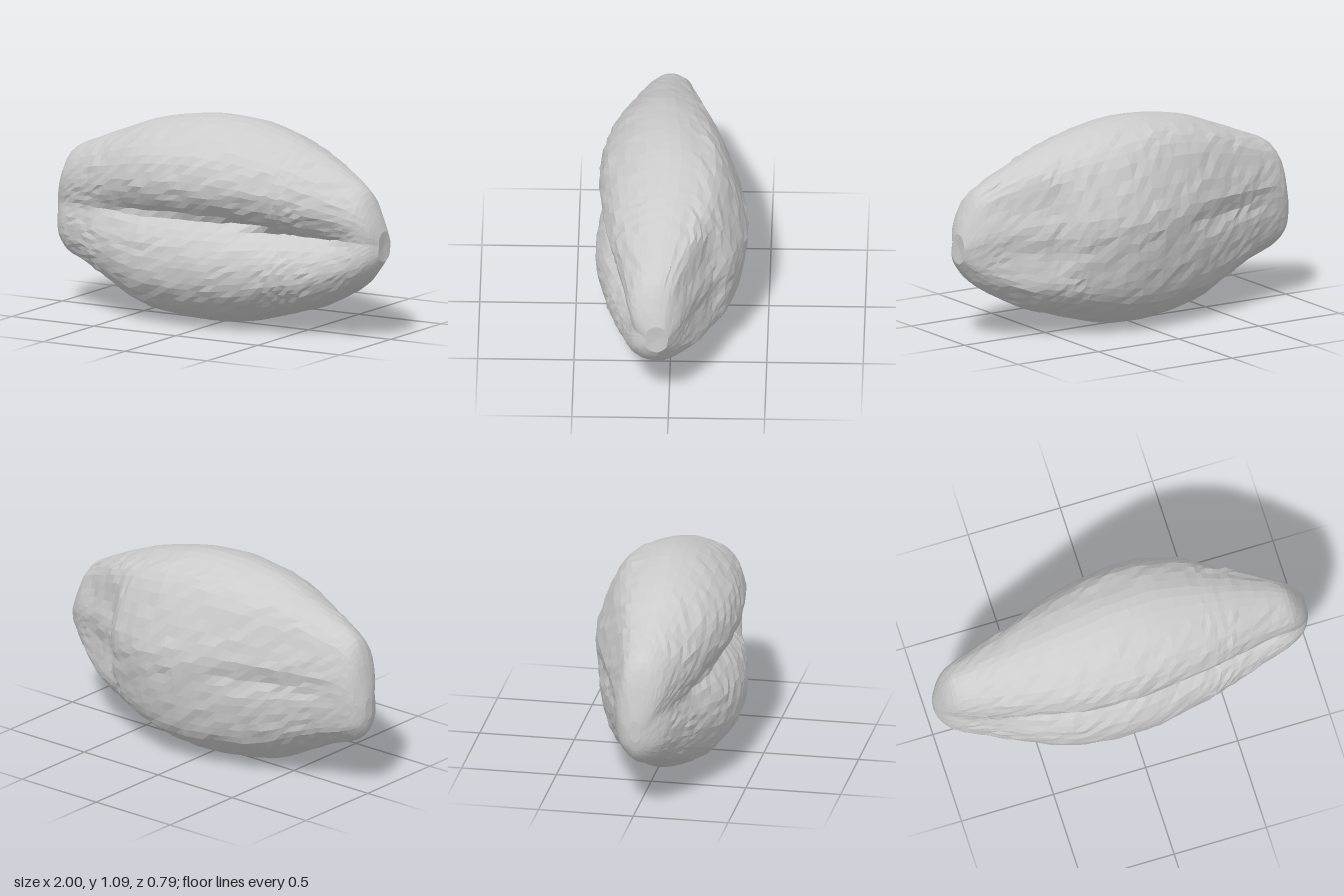
import * as THREE from 'three';

// stations along the bean: x, top, bottom, front, back
const STATIONS = [
  [-1, 0.53, 0.41, 0.035, -0.02], [-0.985, 0.61, 0.35, 0.07, -0.05], [-0.95, 0.74, 0.3, 0.12, -0.09],
  [-0.89, 0.835, 0.26, 0.165, -0.12], [-0.75, 0.9, 0.21, 0.225, -0.165], [-0.6, 0.96, 0.135, 0.285, -0.22],
  [-0.4, 1.035, 0.045, 0.352, -0.29], [-0.2, 1.075, 0.012, 0.385, -0.35], [0, 1.09, 0.0, 0.392, -0.388],
  [0.2, 1.07, 0.02, 0.375, -0.393], [0.4, 1.02, 0.075, 0.345, -0.345], [0.5, 0.985, 0.105, 0.32, -0.295],
  [0.62, 0.935, 0.14, 0.29, -0.25], [0.8, 0.845, 0.23, 0.245, -0.16], [0.9, 0.78, 0.295, 0.215, -0.09],
  [0.965, 0.67, 0.365, 0.175, -0.03], [1, 0.58, 0.42, 0.12, 0.0],
];

// closed cross-section without the crease: depth (-1 back, 1 front), height (0 to 1)
const SECTION = [
  [0.04, 1], [0.5, 0.95], [0.85, 0.84], [0.99, 0.72], [1.0, 0.62], [0.98, 0.52], [1.02, 0.4], [1.03, 0.3],
  [0.97, 0.2], [0.78, 0.11], [0.48, 0.04], [0.04, 0], [-0.28, 0.025], [-0.74, 0.145],
  [-0.89, 0.27], [-0.96, 0.42], [-1, 0.56], [-0.88, 0.715], [-0.65, 0.895], [-0.38, 0.965],
];

// repeatable surface unevenness
function noise(i, j) {
  const s = Math.sin(i * 127.1 + j * 311.7) * 43758.5453;
  return (s - Math.floor(s)) * 2 - 1;
}

function createBean() {
  const step = THREE.MathUtils.smoothstep;
  const bump = (t, centre, width, power) => Math.exp(-(((t - centre) / width) ** power));
  const curve = (pts, closed) => new THREE.CatmullRomCurve3(pts, closed, 'catmullrom', 0.5);
  const heights = curve(STATIONS.map(s => new THREE.Vector3(s[0], s[1], s[2])), false);
  const depths = curve(STATIONS.map(s => new THREE.Vector3(s[0], s[3], s[4])), false);
  const outline = curve(SECTION.map(s => new THREE.Vector3(s[0], s[1], 0)), true);
  const rings = 56, sides = 60;
  const positions = [], index = [];

  for (let i = 0; i <= rings; i++) {
    const h = heights.getPoint(i / rings), d = depths.getPoint(i / rings);
    const x = h.x, half = (d.y - d.z) / 2, mid = (d.y + d.z) / 2;
    // crease: shallow at the -x end, deepest right of centre, closing at the +x tip
    const depth = (0.1 + 0.2 * step(x, -0.9, -0.4) + 0.18 * step(x, 0, 0.4))
      * step(x, -1, -0.93) * (1 - 0.8 * step(x, 0.7, 0.97));
    const creaseY = 0.55 + 0.03 * step(x, -0.8, -0.4) - 0.06 * step(x, 0, 0.6);
    // sunken facet on the back of the +x end, and a shallow dent on the back of the -x half
    const facet = 0.055 * step(x, 0.47, 0.55) * (1 - step(x, 0.75, 1));
    const dent = 0.035 * bump(x, -0.48, 0.32, 2);
    const k = 0.005 * Math.min(1, 4 * (1 - Math.abs(x)));

    for (let j = 0; j < sides; j++) {
      const p = outline.getPoint(j / sides), v = p.y;
      const y = THREE.MathUtils.lerp(h.z, h.y, v), off = y - creaseY;
      let z = mid + half * p.x;
      if (p.x > 0.5) z -= half * depth * Math.exp(-Math.abs(off) / 0.085);
      if (p.x < -0.3) z += dent * bump(y, 0.56, 0.06, 2) + facet * bump(y, 0.58, 0.24, 4);
      const inner = v > 0.03 && v < 0.97 ? k : 0;
      positions.push(x + k * noise(i, j), y + inner * noise(j, i + 90), z + k * noise(i + 40, j + 7));
    }
  }

  for (let i = 0; i < rings; i++) {
    for (let j = 0; j < sides; j++) {
      const a = i * sides + j, b = i * sides + (j + 1) % sides;
      index.push(a, b, a + sides, b, b + sides, a + sides);
    }
  }

  // closed tips
  const addTip = (ring, x, y, z, flip) => {
    const c = positions.length / 3;
    positions.push(x, y, z);
    for (let j = 0; j < sides; j++) {
      const a = ring * sides + j, b = ring * sides + (j + 1) % sides;
      if (flip) index.push(c, b, a);
      else index.push(c, a, b);
    }
  };
  addTip(0, -1, 0.47, 0.005, true);
  addTip(rings, 0.995, 0.5, 0.06, false);

  const indexed = new THREE.BufferGeometry();
  indexed.setAttribute('position', new THREE.Float32BufferAttribute(positions, 3));
  indexed.setIndex(index);
  const geometry = indexed.toNonIndexed();
  geometry.computeVertexNormals();
  return geometry;
}

export function createModel() {
  const group = new THREE.Group();
  group.name = 'coffeeBean';
  const bean = new THREE.Mesh(createBean(),
    new THREE.MeshStandardMaterial({ color: 0xcccccc, flatShading: true }));
  bean.name = 'bean';
  group.add(bean);
  return group;
}
